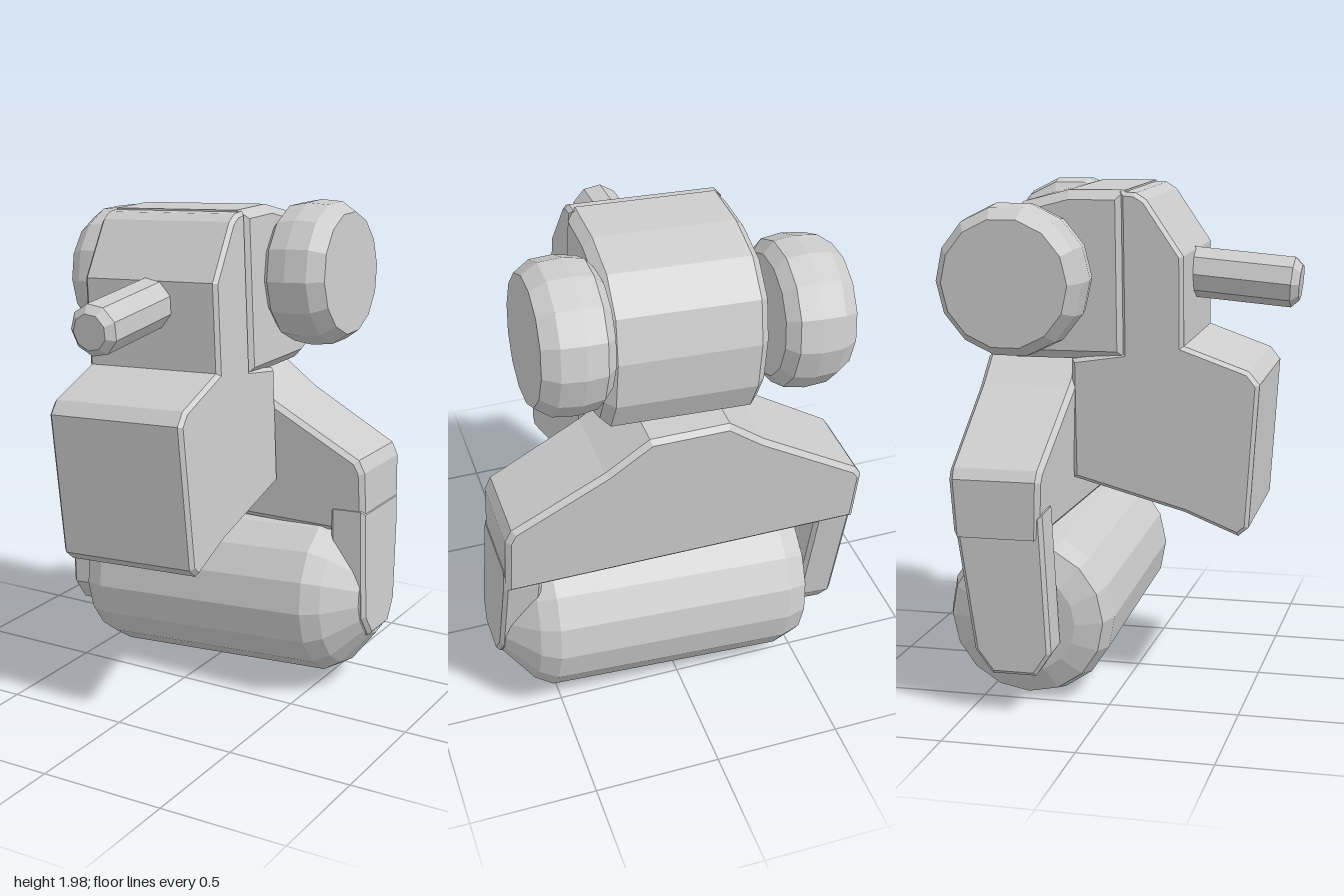
import * as THREE from 'three';

const material = new THREE.MeshStandardMaterial({ color: 0xcccccc, flatShading: true });
const TILT = 0.06; // the whole machine leans slightly to one side

function addMesh(parent, name, geometry, x = 0, y = 0, z = 0, lean = 0) {
  const mesh = new THREE.Mesh(geometry, material);
  mesh.name = name;
  mesh.position.set(x, y, z);
  mesh.rotation.z = lean;
  parent.add(mesh);
  return mesh;
}

// Outline of [a, b] points extruded to a total depth, centred, with chamfered edges
function slab(points, depth, bevel) {
  const shape = new THREE.Shape(points.map(([a, b]) => new THREE.Vector2(a, b)));
  const geometry = new THREE.ExtrudeGeometry(shape, {
    depth: depth - 2 * bevel, bevelEnabled: true, bevelSegments: 1,
    bevelSize: bevel, bevelThickness: bevel, bevelOffset: -bevel,
  });
  return geometry.translate(0, 0, bevel - depth / 2);
}

// Side profile of [z, y] points, extruded along x
const sideSlab = (points, width, bevel) =>
  slab(points.map(([z, y]) => [-z, y]).reverse(), width, bevel).rotateY(Math.PI / 2);

// Turned body of [x, radius] points around the x axis
function drum(points, sides) {
  const profile = points.map(([x, r]) => new THREE.Vector2(r, x));
  return new THREE.LatheGeometry(profile, sides).rotateZ(-Math.PI / 2);
}

export function createModel() {
  const model = new THREE.Group();
  model.name = 'rollerMachine';

  // Large ground roller, more strongly tapered at its left end
  addMesh(model, 'roller', drum([
    [-0.58, 0], [-0.58, 0.2], [-0.54, 0.3], [-0.46, 0.328], [0.49, 0.328],
    [0.56, 0.29], [0.67, 0.16], [0.67, 0],
  ], 16), 0.04, 0.372, -0.325, 0.066);

  // Yoke: trapezoid body, narrowing slightly in depth toward the bottom
  const yokeGeometry = slab([
    [-0.72, 0.7], [0.705, 0.7], [0.695, 0.96], [0.67, 1.01], [0.31, 1.2],
    [0.14, 1.32], [-0.17, 1.32], [-0.31, 1.21], [-0.71, 0.96], [-0.735, 0.92],
  ], 0.39, 0.02);
  const p = yokeGeometry.attributes.position;
  for (let i = 0; i < p.count; i++) {
    p.setZ(i, p.getZ(i) * (0.84 + 0.16 * (p.getY(i) - 0.7) / 0.62));
  }
  yokeGeometry.computeVertexNormals();
  addMesh(model, 'yokeBody', yokeGeometry, 0, 0, -0.375);

  // Yoke arms reaching down to the roller axle
  for (const [name, x, bottom] of [['rightArm', -0.637, 0.17], ['leftArm', 0.635, 0.27]]) {
    addMesh(model, name, sideSlab([
      [-0.2, 0.8], [-0.18, bottom + 0.09], [-0.24, bottom], [-0.41, bottom],
      [-0.475, bottom + 0.09], [-0.53, 0.7], [-0.53, 0.8],
    ].map(([z, y]) => [z, y - 0.7]), 0.15, 0.015), x, 0.7, 0, TILT);
  }

  // Upper body, leaning about its middle
  const upper = new THREE.Group();
  upper.name = 'upperBody';
  upper.position.y = 1.3;
  upper.rotation.z = 0.05;
  model.add(upper);
  const lower = ([z, y]) => [z, y - 1.3];

  // Front column with the protruding jaw
  addMesh(upper, 'frontColumn', sideSlab([
    [-0.2, 0.86], [-0.2, 1.33], [0, 1.36], [0, 1.97], [0.06, 1.965], [0.1, 1.94],
    [0.24, 1.73], [0.24, 1.39], [0.49, 1.3], [0.53, 1.25], [0.49, 0.69],
    [0.45, 0.655], [0.24, 0.74],
  ].map(lower), 0.59, 0.015), 0.005);

  // Rounded rear housing between the wheels
  addMesh(upper, 'rearHousing', sideSlab([
    [0.02, 1.33], [0.02, 1.975], [-0.2, 1.975], [-0.38, 1.93], [-0.5, 1.82], [-0.55, 1.66],
    [-0.55, 1.48], [-0.5, 1.36], [-0.42, 1.33],
  ].map(lower), 0.61, 0.035), 0.005);

  // Forward barrel
  const barrel = addMesh(upper, 'barrel', drum([
    [-0.1, 0], [-0.1, 0.1], [0.38, 0.1], [0.41, 0.07], [0.41, 0],
  ], 9).rotateY(-Math.PI / 2), 0.005, 0.34, 0.24);
  barrel.rotation.x = 0.09;

  // Chamfered side wheels
  const wheelProfile = [
    [-0.14, 0], [-0.14, 0.23], [-0.1, 0.275], [-0.02, 0.288], [0.07, 0.28],
    [0.13, 0.24], [0.13, 0],
  ];
  const mirrored = wheelProfile.map(([x, r]) => [-x, r]).reverse();
  addMesh(model, 'leftWheel', drum(wheelProfile, 14), 0.415, 1.712, -0.362, TILT);
  addMesh(model, 'rightWheel', drum(mirrored, 14), -0.492, 1.635, -0.362, TILT);

  return model;
}
